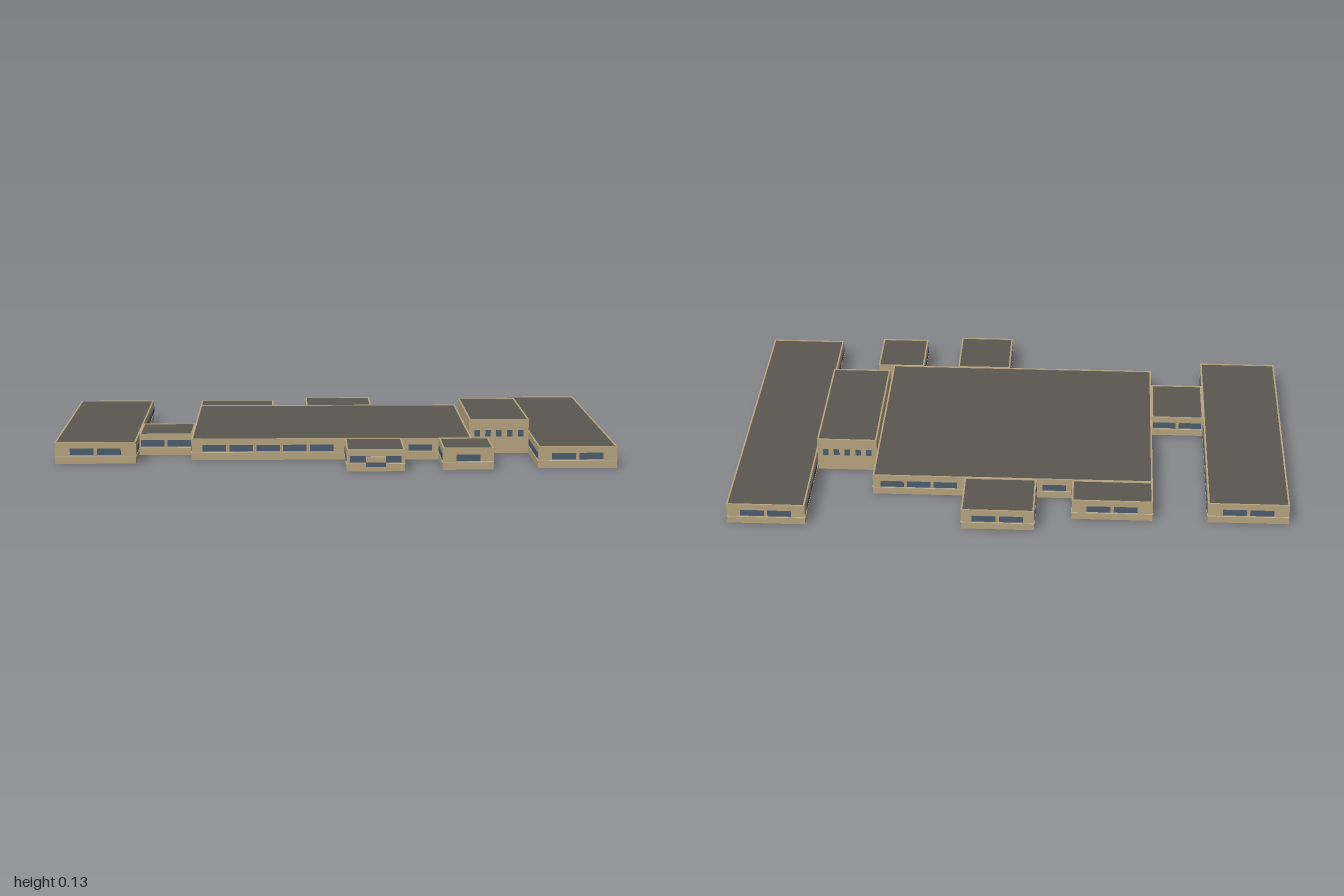
import * as THREE from 'three';

export function createModel() {
  const mat = (name, color, side = THREE.FrontSide) => {
    const m = new THREE.MeshStandardMaterial({ color, side });
    m.name = name;
    return m;
  };
  const tan = mat('tan wall', 0xb8a580);
  const grey = mat('grey roof', 0x5a5850, THREE.DoubleSide);
  const blue = mat('blue window', 0x4c5d70);
  const pale = mat('pale sill', 0xcabd9e);

  const model = new THREE.Group();
  model.name = 'building';
  const H = 0.078, T = 0.006;

  const box = (parent, name, material, x0, x1, y0, y1, z0, z1) => {
    const m = new THREE.Mesh(new THREE.BoxGeometry(x1 - x0, y1 - y0, z1 - z0), material);
    m.position.set((x0 + x1) / 2, (y0 + y1) / 2, (z0 + z1) / 2);
    m.name = name;
    parent.add(m);
  };

  // Hollow block, open underneath: a ring of walls with a roof set just below the rim
  const block = (name, x0, x1, z0, z1, h = H) => {
    const g = new THREE.Group();
    g.name = name;
    const rect = (S, d) => {
      const s = new S();
      s.moveTo(x0 + d, -z1 + d).lineTo(x1 - d, -z1 + d);
      return s;
    };
    const outline = (S, d) => {
      const s = rect(S, d);
      s.lineTo(x1 - d, -z0 - d);
      s.lineTo(x0 + d, -z0 - d);
      s.closePath();
      return s;
    };
    const ring = outline(THREE.Shape, 0);
    ring.holes.push(outline(THREE.Path, T));
    const walls = new THREE.Mesh(new THREE.ExtrudeGeometry(ring, { depth: h, bevelEnabled: false }), tan);
    walls.rotation.x = -Math.PI / 2;
    walls.name = 'walls';
    const roof = new THREE.Mesh(new THREE.PlaneGeometry(x1 - x0 - 2 * T, z1 - z0 - 2 * T), grey);
    roof.rotation.x = -Math.PI / 2;
    roof.position.set((x0 + x1) / 2, h - 0.002, (z0 + z1) / 2);
    roof.name = 'roof';
    g.add(walls, roof);
    model.add(g);
    return g;
  };

  // Thin plate on a wall facing 'x' or 'z' in direction dir, running from a to b
  const plate = (g, name, material, axis, dir, at, a, b, y0, y1) => {
    const n = Math.min(at, at + dir * 0.002), f = Math.max(at, at + dir * 0.002);
    if (axis === 'z') box(g, name, material, a, b, y0, y1, n, f);
    else box(g, name, material, n, f, y0, y1, a, b);
  };

  // Evenly spaced windows, centred on an exposed stretch of wall, above a sill line
  const windows = (g, axis, dir, at, a, b, pitch = 0.097, width = 0.085, y0 = 0.032, y1 = 0.055) => {
    const count = Math.floor((b - a) / pitch), mid = (a + b) / 2;
    for (let i = 0; i < count; i++) {
      const c = mid + (i - (count - 1) / 2) * pitch;
      plate(g, 'window', blue, axis, dir, at, c - width / 2, c + width / 2, y0, y1);
    }
    if (y0 < 0.05) plate(g, 'sill', pale, axis, dir, at, a, b, 0.0265, 0.0285);
  };

  // Left-hand and right-hand long wings
  const west = block('westWing', -1, -0.71, -0.57, 0.45);
  windows(west, 'z', 1, 0.45, -1, -0.71);
  windows(west, 'z', -1, -0.57, -1, -0.71);
  windows(west, 'x', -1, -0.998, -0.57, 0.45);
  windows(west, 'x', 1, -0.71, -0.57, 0.025);
  windows(west, 'x', 1, -0.71, 0.27, 0.45);

  const east = block('eastWing', 0.72, 1, -0.65, 0.57);
  windows(east, 'z', 1, 0.57, 0.72, 1);
  windows(east, 'z', -1, -0.65, 0.72, 1);
  windows(east, 'x', 1, 0.998, -0.65, 0.57);
  windows(east, 'x', -1, 0.72, -0.65, -0.275);
  windows(east, 'x', -1, 0.72, 0.255, 0.57);

  // Link between the west wing and the main block
  const link = block('connector', -0.71, -0.515, 0.025, 0.27);
  windows(link, 'z', 1, 0.27, -0.71, -0.515);
  windows(link, 'z', -1, 0.025, -0.71, -0.515);

  // Main block: windows only where no other block adjoins
  const main = block('mainBlock', -0.515, 0.5, -0.435, 0.38);
  [[-0.515, 0.04], [0.245, 0.38]].forEach(([a, b]) => windows(main, 'z', 1, 0.38, a, b));
  [[-0.225, -0.095], [0.165, 0.5]].forEach(([a, b]) => windows(main, 'z', -1, -0.435, a, b));
  [[-0.435, 0.025], [0.27, 0.38]].forEach(([a, b]) => windows(main, 'x', -1, -0.515, a, b));
  [[-0.435, -0.275], [0.255, 0.38]].forEach(([a, b]) => windows(main, 'x', 1, 0.5, a, b));

  // Small annexes in front and behind
  const annexes = [
    ['backCornerAnnex', -0.515, -0.225, -0.57, -0.435, -1],
    ['backAnnex', -0.095, 0.165, -0.65, -0.435, -1],
    ['entranceAnnex', 0.04, 0.245, 0.38, 0.62, 1],
    ['frontAnnex', 0.38, 0.56, 0.38, 0.595, 1],
  ];
  for (const [name, x0, x1, z0, z1, dir] of annexes) {
    const g = block(name, x0, x1, z0, z1);
    windows(g, 'z', dir, dir > 0 ? z1 : z0, x0, x1);
    windows(g, 'x', -1, x0, z0, z1);
    windows(g, 'x', 1, x1, z0, z1);
  }

  // Taller hall with narrow high windows at both ends
  const hall = block('tallHall', 0.5, 0.72, -0.275, 0.255, 0.127);
  windows(hall, 'z', 1, 0.255, 0.5, 0.72, 0.04, 0.02, 0.062, 0.086);
  windows(hall, 'z', -1, -0.275, 0.5, 0.72, 0.04, 0.02, 0.062, 0.086);

  // Entrance canopy with a hanging glazed front
  const porch = new THREE.Group();
  porch.name = 'entrancePorch';
  model.add(porch);
  box(porch, 'canopy', tan, 0.107, 0.178, 0.051, 0.054, 0.62, 0.648);
  box(porch, 'fascia', tan, 0.107, 0.178, 0.036, 0.051, 0.645, 0.648);
  box(porch, 'glazing', blue, 0.107, 0.178, 0.02, 0.036, 0.645, 0.648);

  return model;
}
